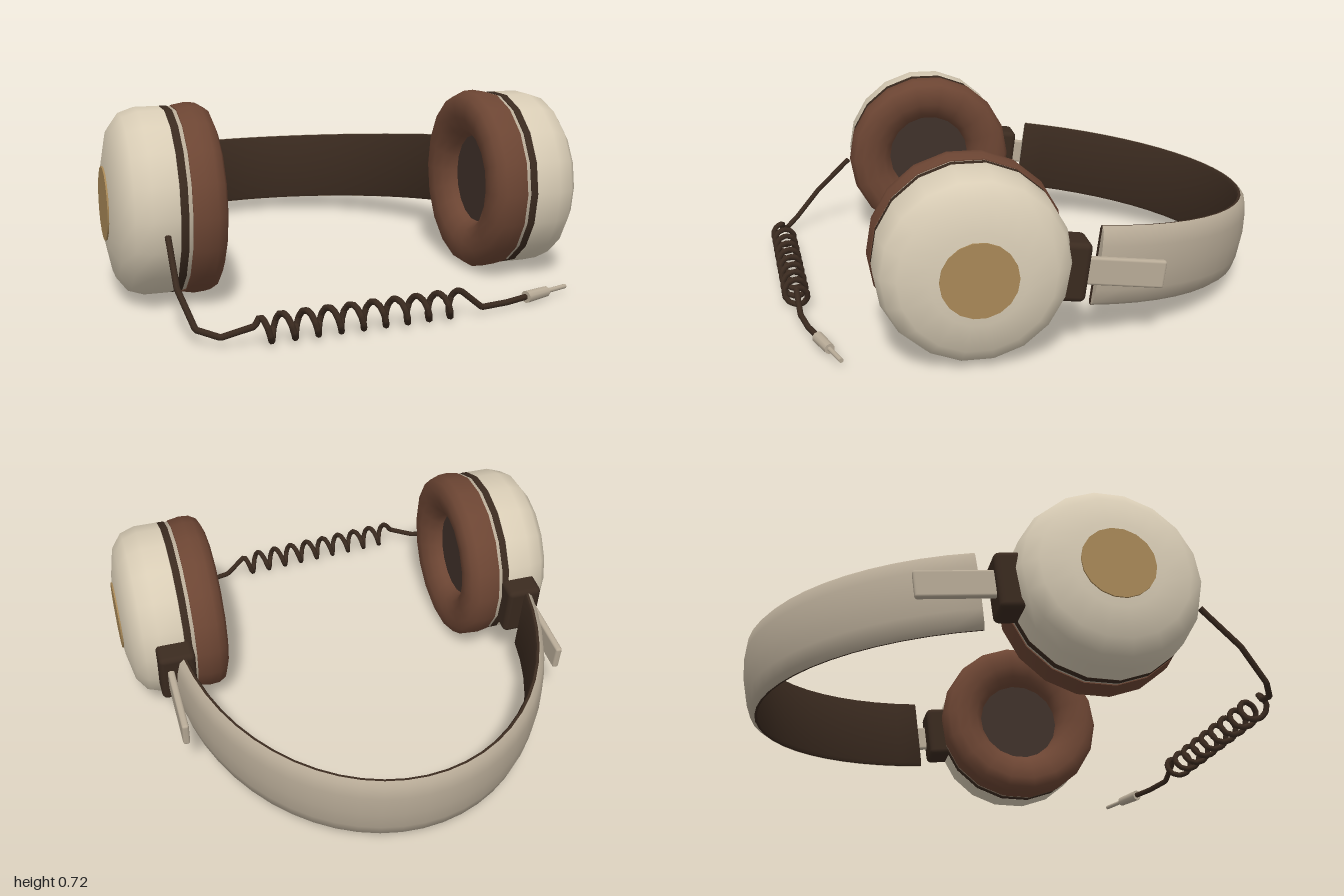
import * as THREE from 'three';
import { toCreasedNormals } from 'three/addons/utils/BufferGeometryUtils.js';
import { RoundedBoxGeometry } from 'three/addons/geometries/RoundedBoxGeometry.js';

const material = (name, color) => {
  const m = new THREE.MeshStandardMaterial({ color });
  m.name = name;
  return m;
};

const mesh = (name, geometry, mat) => {
  const m = new THREE.Mesh(geometry, mat);
  m.name = name;
  return m;
};

// Solid of revolution about the x axis; profile points are [radius, x].
function turned(profile, crease = 0.7) {
  const g = new THREE.LatheGeometry(profile.map(([r, x]) => new THREE.Vector2(r, x)), 18);
  return toCreasedNormals(g.rotateZ(-Math.PI / 2), crease);
}

// Sweep a convex section of [outward offset, height] points along the elliptical headband.
function bandSweep(section) {
  const a = 0.765, b = 0.957, centreZ = -0.314, end = 1.411, steps = 26;
  const n = section.length, pos = [], index = [];
  for (let i = 0; i <= steps; i++) {
    const t = end * (2 * i / steps - 1);
    const nx = Math.sin(t) / a, nz = -Math.cos(t) / b, len = Math.hypot(nx, nz);
    for (const [d, y] of section) {
      pos.push(a * Math.sin(t) + d * nx / len, y, centreZ - b * Math.cos(t) + d * nz / len);
    }
  }
  for (let i = 0; i < steps; i++) {
    for (let j = 0; j < n; j++) {
      const p = i * n + j, q = i * n + (j + 1) % n;
      index.push(p, q, p + n, q, q + n, p + n);
    }
  }
  const last = steps * n;
  for (let j = 1; j < n - 1; j++) {
    index.push(0, j + 1, j, last, last + j, last + j + 1);
  }
  const g = new THREE.BufferGeometry();
  g.setAttribute('position', new THREE.Float32BufferAttribute(pos, 3));
  g.setIndex(index);
  return toCreasedNormals(g, 0.7);
}

// Cylinder between two points.
function rod(name, from, to, r0, r1, mat) {
  const p = new THREE.Vector3(...from), q = new THREE.Vector3(...to);
  const dir = q.clone().sub(p);
  const m = mesh(name, new THREE.CylinderGeometry(r1, r0, dir.length(), 10), mat);
  m.position.copy(p).add(q).multiplyScalar(0.5);
  m.quaternion.setFromUnitVectors(new THREE.Vector3(0, 1, 0), dir.normalize());
  return m;
}

export function createModel() {
  const cream = material('cream shell', 0xd8ccb5);
  const taupe = material('taupe metal', 0xb8ab97);
  const brown = material('brown leather', 0x6c4533);
  const dark = material('dark brown', 0x3a2a1f);
  const gold = material('gold badge', 0xa88857);
  const lining = material('speaker cloth', 0x40312a);

  const model = new THREE.Group();
  model.name = 'headphones';
  const pivot = [0, 0.372, 0.262];

  // Ear cups
  const shellGeo = turned([[0.345, 0.69], [0.353, 0.695], [0.353, 0.79], [0.333, 0.85],
    [0.28, 0.89], [0.17, 0.914], [0, 0.92]], 1);
  const cushionGeo = turned([[0.175, 0.61], [0.185, 0.57], [0.21, 0.54], [0.255, 0.519], [0.305, 0.515],
    [0.343, 0.53], [0.36, 0.56], [0.363, 0.6], [0.354, 0.65], [0.3, 0.655]], 1.2);
  const ring = (r, x0, x1) => turned([[0, x0], [r, x0], [r, x1], [0, x1]]);
  for (const side of [1, -1]) {
    const cup = new THREE.Group();
    cup.name = side > 0 ? 'leftEarCup' : 'rightEarCup';
    cup.add(
      mesh('shell', shellGeo, cream),
      mesh('seamBand', ring(0.353, 0.665, 0.693), dark),
      mesh('trimRing', ring(0.35, 0.648, 0.665), taupe),
      mesh('cushion', cushionGeo, brown),
      mesh('speakerCloth', ring(0.19, 0.595, 0.65), lining),
      mesh('badge', ring(0.139, 0.917, 0.923), gold),
    );
    cup.position.set(...pivot);
    cup.rotation.y = side > 0 ? 0 : Math.PI;
    model.add(cup);
  }

  // Headband, hinges and slider arms, tilted down toward the back
  const headband = new THREE.Group();
  headband.name = 'headband';
  headband.position.set(...pivot);
  headband.rotation.x = -0.126;
  headband.add(
    mesh('outerBand', bandSweep([[-0.036, -0.155], [-0.018, -0.138], [-0.006, -0.085], [0, 0],
      [-0.006, 0.085], [-0.018, 0.138], [-0.036, 0.155]]), taupe),
    mesh('innerPad', bandSweep([[-0.034, -0.153], [-0.034, 0.153], [-0.046, 0.153],
      [-0.052, 0.14], [-0.052, -0.14], [-0.046, -0.153]]), dark),
  );
  for (const side of [1, -1]) {
    const hinge = mesh('hinge', new RoundedBoxGeometry(0.145, 0.225, 0.13, 2, 0.022), dark);
    hinge.position.set(side * 0.738, 0, -0.351);
    const arm = mesh('sliderArm', new RoundedBoxGeometry(0.027, 0.107, 0.33, 2, 0.01), taupe);
    arm.position.set(side * 0.768, 0, -0.543);
    headband.add(hinge, arm);
  }
  model.add(headband);

  // Cable: lead from the right cup, coil, lead to the plug
  const points = [[-0.745, 0.315, 0.635], [-0.745, 0.18, 0.775], [-0.705, 0.065, 0.88],
    [-0.63, 0.045, 0.925], [-0.52, 0.08, 0.948]];
  const turns = 9, perTurn = 10;
  for (let i = 0; i <= turns * perTurn; i++) {
    const u = i / (turns * perTurn), t = 2 * Math.PI * i / perTurn;
    points.push([-0.5 + 0.75 * u, 0.066 + 0.045 * Math.cos(t), 0.943 - 0.057 * u + 0.045 * Math.sin(t)]);
  }
  points.push([0.34, 0.037, 0.874], [0.46, 0.035, 0.845], [0.56, 0.035, 0.806]);
  const path = new THREE.CurvePath();
  for (let i = 1; i < points.length; i++) {
    path.add(new THREE.LineCurve3(new THREE.Vector3(...points[i - 1]), new THREE.Vector3(...points[i])));
  }
  model.add(mesh('cable', new THREE.TubeGeometry(path, 420, 0.0115, 7), dark));
  model.add(rod('cableEnd', [-0.745, 0.322, 0.628], [-0.745, 0.31, 0.64], 0.0115, 0.0115, dark));

  // Plug
  model.add(
    rod('plugBody', [0.55, 0.035, 0.812], [0.655, 0.035, 0.772], 0.023, 0.02, taupe),
    rod('plugTip', [0.65, 0.035, 0.774], [0.755, 0.035, 0.735], 0.009, 0.009, taupe),
  );
  return model;
}
